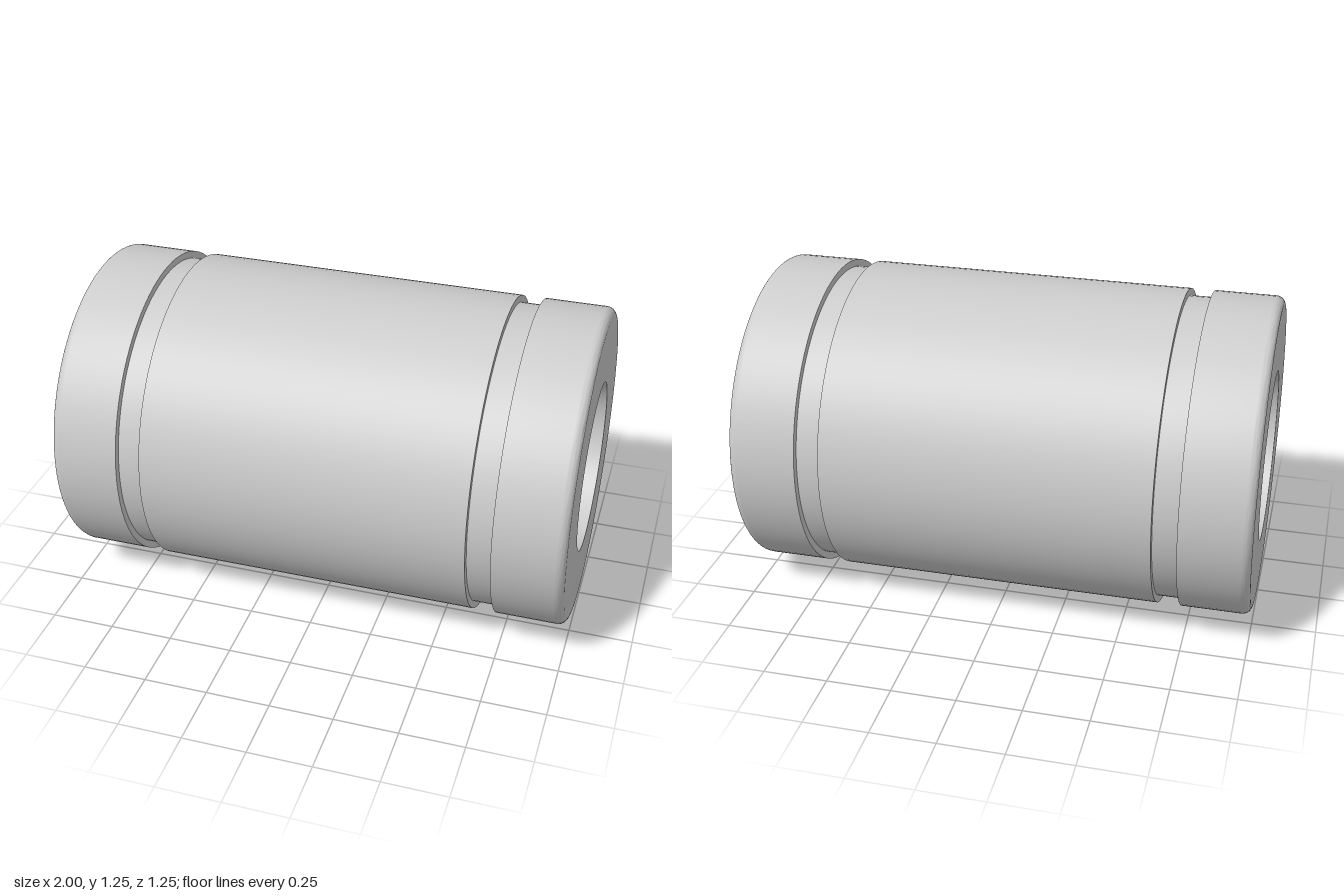
import * as THREE from 'three';
import { toCreasedNormals } from 'three/addons/utils/BufferGeometryUtils.js';

const HALF = 1, OUTER = 0.623, BORE = 0.333, FILLET = 0.035;
const GROOVE_IN = 0.635, GROOVE_OUT = 0.73, GROOVE_R = 0.595;

// Half of the outer profile as [radius, axial], from the inner groove edge to the bore rim
function halfProfile() {
  const pts = [
    [OUTER, GROOVE_IN], [GROOVE_R, GROOVE_IN],
    [GROOVE_R, GROOVE_OUT], [OUTER, GROOVE_OUT],
  ];
  // rounded outer end edge
  const steps = 8;
  for (let i = 0; i <= steps; i++) {
    const a = (i / steps) * Math.PI / 2;
    pts.push([OUTER - FILLET + FILLET * Math.cos(a), HALF - FILLET + FILLET * Math.sin(a)]);
  }
  pts.push([BORE, HALF]);
  return pts;
}

export function createModel() {
  const group = new THREE.Group();
  group.name = 'linearBushing';

  // Closed section: mirrored lower half, upper half, then back down the bore
  const upper = halfProfile();
  const lower = upper.map(([r, y]) => [r, -y]).reverse();
  const section = [...lower, ...upper, lower[0]].map(([r, y]) => new THREE.Vector2(r, y));

  const geometry = toCreasedNormals(new THREE.LatheGeometry(section, 96), 0.6);
  geometry.rotateZ(-Math.PI / 2);

  const sleeve = new THREE.Mesh(geometry, new THREE.MeshStandardMaterial({ color: 0xcccccc }));
  sleeve.name = 'groovedSleeve';
  sleeve.position.y = OUTER;
  group.add(sleeve);
  return group;
}
